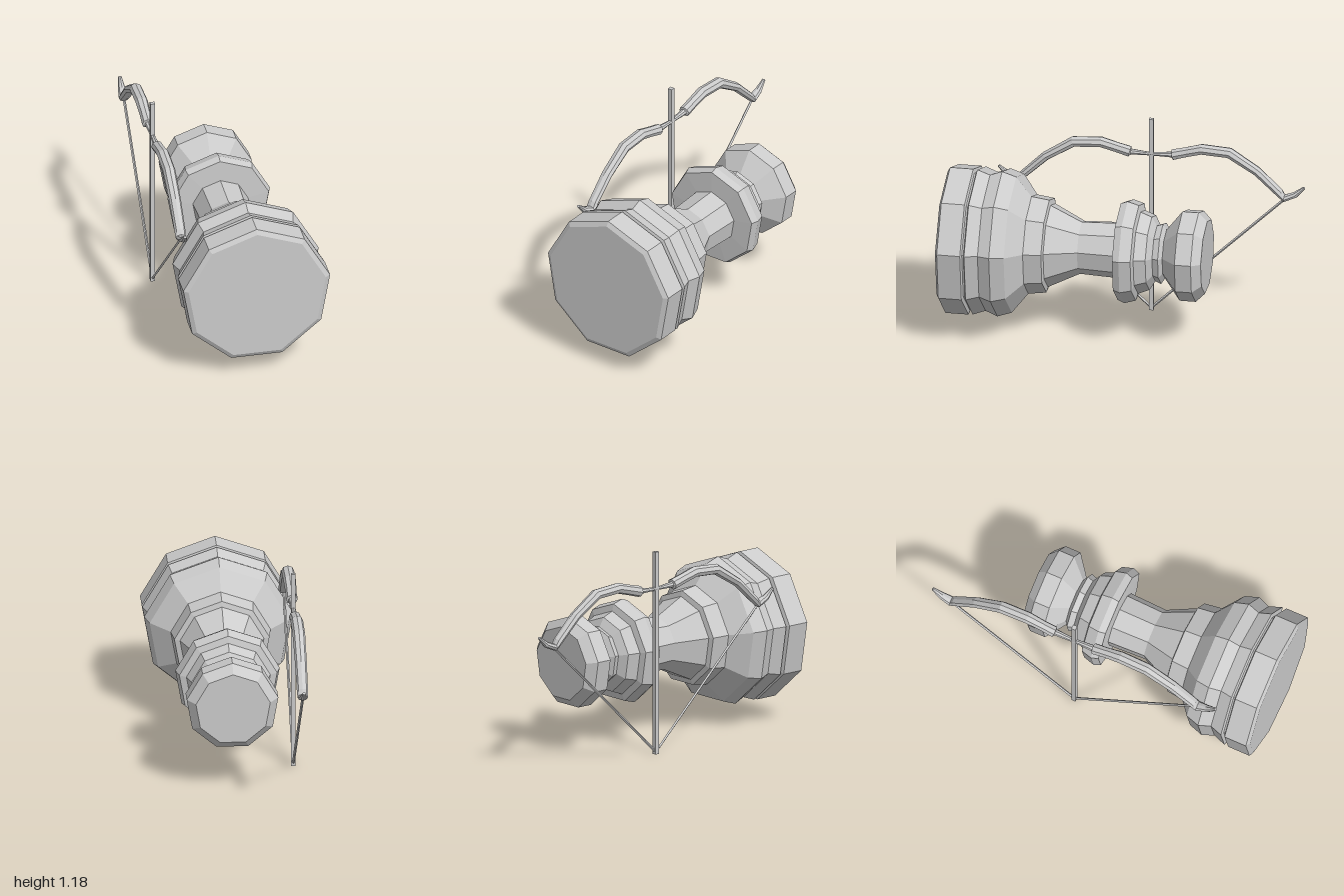
import * as THREE from 'three';

const material = new THREE.MeshStandardMaterial({ color: 0xcccccc, flatShading: true });
const BOW_X = -0.37, BOW_Z = -0.11;

function addMesh(group, geometry, name) {
  const mesh = new THREE.Mesh(geometry, material);
  mesh.name = name;
  group.add(mesh);
  return mesh;
}

// Loft along a path in the y-z plane; each station is [z, y, halfWidth, halfDepth]
function loft(stations, sides) {
  const n = stations.length;
  const geometry = new THREE.CylinderGeometry(1, 1, 1, sides, n - 1);
  const pos = geometry.attributes.position;
  for (let i = 0; i < pos.count; i++) {
    const row = Math.round((0.5 - pos.getY(i)) * (n - 1));
    const [z, y, w, d] = stations[row];
    const before = stations[Math.max(row - 1, 0)];
    const after = stations[Math.min(row + 1, n - 1)];
    const tangent = new THREE.Vector3(0, before[1] - after[1], before[0] - after[0]).normalize();
    const normal = new THREE.Vector3(1, 0, 0).cross(tangent);
    const px = pos.getX(i), pz = pos.getZ(i);
    pos.setXYZ(i, px * w, y + normal.y * pz * d, z + normal.z * pz * d);
  }
  geometry.computeVertexNormals();
  return geometry;
}

export function createModel() {
  const model = new THREE.Group();

  // Nine-sided turned piece lying along z: [radius, z] from head to foot
  const profile = [
    [0, -0.5], [0.215, -0.5], [0.265, -0.45], [0.265, -0.357],
    [0.145, -0.265], [0.178, -0.245], [0.165, -0.21], [0.217, -0.18],
    [0.243, -0.115], [0.283, -0.105], [0.302, -0.04], [0.287, 0],
    [0.163, 0.005], [0.154, 0.225], [0.243, 0.405], [0.275, 0.412],
    [0.289, 0.515], [0.404, 0.604], [0.431, 0.685], [0.404, 0.755],
    [0.431, 0.828], [0.408, 0.836], [0.408, 0.845], [0.433, 0.852],
    [0.433, 0.985], [0.405, 1], [0, 1],
  ].map(([r, z]) => new THREE.Vector2(r, z));
  const body = addMesh(model, new THREE.LatheGeometry(profile, 9, Math.PI), 'turnedBody');
  body.rotation.x = Math.PI / 2;
  body.position.y = 0.524;

  // Bow, mirrored about its grip: [offset from grip, y, halfWidth, halfDepth]
  const bow = new THREE.Group();
  bow.name = 'bow';
  bow.position.set(BOW_X, 0, BOW_Z);
  model.add(bow);

  const half = [
    [0.03, 0.968, 0.014, 0.011], [0.118, 0.972, 0.02, 0.017],
    [0.124, 0.972, 0.034, 0.032], [0.2, 0.993, 0.032, 0.03],
    [0.29, 1.018, 0.036, 0.031], [0.45, 1.008, 0.036, 0.031],
    [0.61, 0.907, 0.034, 0.026], [0.74, 0.783, 0.032, 0.023],
    [0.768, 0.752, 0.03, 0.021], [0.83, 0.778, 0.022, 0.018],
    [0.882, 0.825, 0.01, 0.008],
  ];
  const mirrored = half.map(([z, ...rest]) => [-z, ...rest]).reverse();
  addMesh(bow, loft([...mirrored, ...half], 8), 'bowLimbs');

  // Drawn string, one straight run to each limb tip
  for (const side of [1, -1]) {
    const run = [[0, 0.012, 0.008, 0.008], [side * 0.77, 0.748, 0.008, 0.008]];
    addMesh(bow, loft(run, 4), side > 0 ? 'frontBowstring' : 'backBowstring');
  }

  // Arrow shaft standing upright through the grip
  const arrow = addMesh(bow, new THREE.BoxGeometry(0.026, 1.185, 0.026), 'arrowShaft');
  arrow.position.y = 0.5925;

  return model;
}
